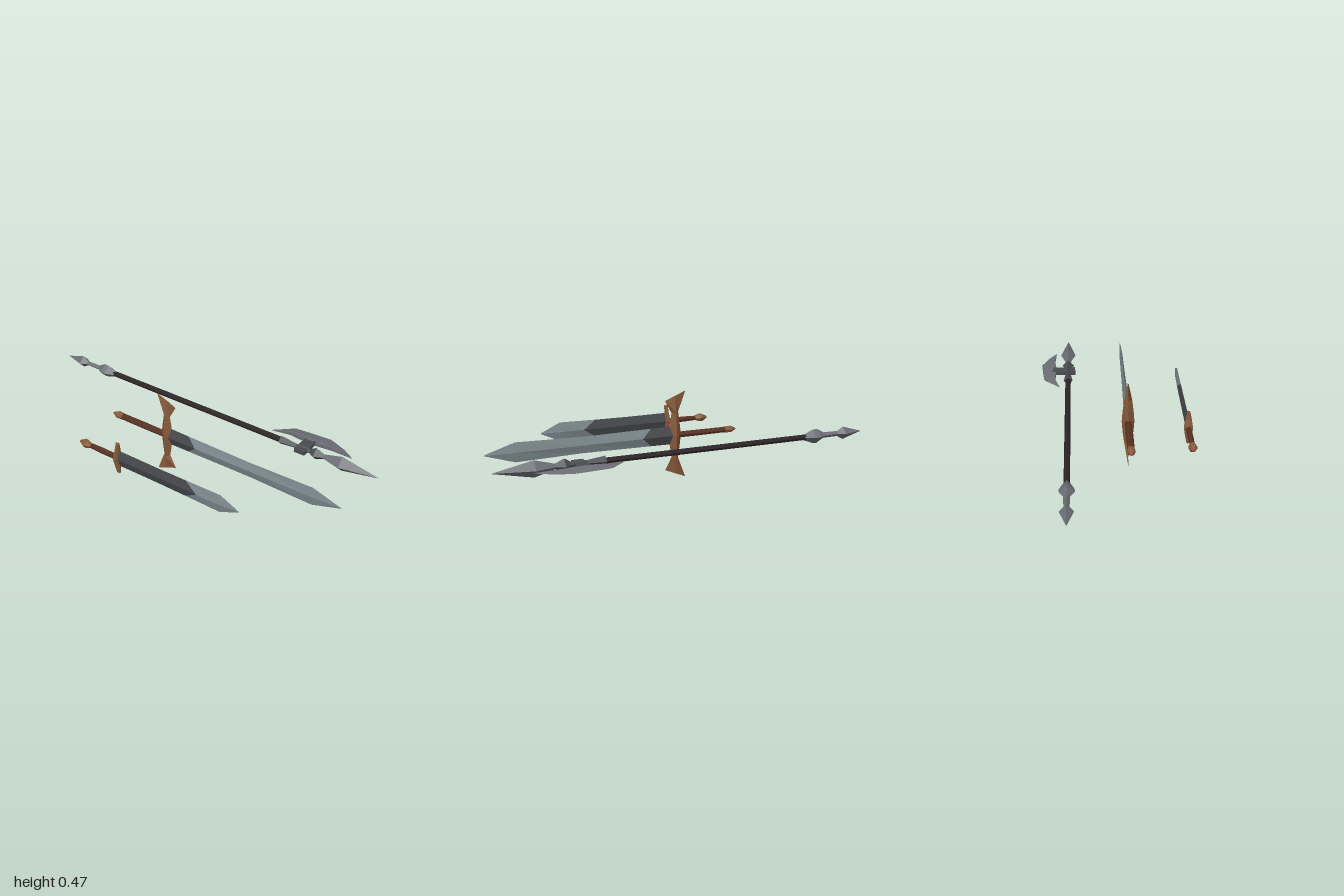
import * as THREE from 'three';

const MID = 0.236; // height of every weapon's axis

const mat = (name, color, extra = {}) => {
  const m = new THREE.MeshStandardMaterial({ color, flatShading: true, ...extra });
  m.name = name;
  return m;
};

// Skin a list of equal-length rings of [x, y, z] points and cap both ends.
function loft(rings) {
  const n = rings[0].length, pos = [];
  let volume = 0;
  const tris = [];
  const tri = (a, b, c) => {
    tris.push([a, b, c]);
    const [p, q, r] = [a, b, c].map(v => new THREE.Vector3(...v).sub(new THREE.Vector3(...rings[0][0])));
    volume += p.dot(q.cross(r));
  };
  for (let i = 0; i + 1 < rings.length; i++) {
    for (let k = 0; k < n; k++) {
      const l = (k + 1) % n, a = rings[i], b = rings[i + 1];
      tri(a[k], a[l], b[l]);
      tri(a[k], b[l], b[k]);
    }
  }
  const first = rings[0], last = rings[rings.length - 1];
  for (let k = 1; k + 1 < n; k++) {
    tri(first[0], first[k + 1], first[k]);
    tri(last[0], last[k], last[k + 1]);
  }
  // keep all faces pointing outward
  for (const [a, b, c] of tris) pos.push(...(volume >= 0 ? [a, b, c] : [a, c, b]).flat());
  const g = new THREE.BufferGeometry();
  g.setAttribute('position', new THREE.Float32BufferAttribute(pos, 3));
  g.computeVertexNormals();
  return g;
}

// Sections along z: [z, halfX, halfY, ridgeShift]; corners on the axes.
const alongZ = (sections, sides = 4) => loft(sections.map(([z, hx, hy = hx, shift = 0]) =>
  Array.from({ length: sides }, (_, k) => {
    const a = k / sides * Math.PI * 2;
    return [Math.cos(a) * hx, Math.sin(a) * hy, z + shift * Math.abs(Math.cos(a))];
  })));

export function createModel() {
  const steel = mat('blade steel', 0x7d898f);
  const darkSteel = mat('darkened blade', 0x45474a);
  const bronze = mat('bronze guard', 0x87593a);
  const leather = mat('leather grip', 0x57301f);
  const wood = mat('dark shaft', 0x2b2325);
  const iron = mat('pole iron', 0x6a6d72);
  const darkIron = mat('dark iron', 0x484b4f);

  const model = new THREE.Group();
  const weapon = (name, x) => {
    const g = new THREE.Group();
    g.name = name;
    g.position.set(x, MID, 0);
    model.add(g);
    return (part, geometry, material) => {
      const m = new THREE.Mesh(geometry, material);
      m.name = part;
      g.add(m);
      return m;
    };
  };

  // ---- short sword
  let add = weapon('shortSword', -0.372);
  add('bladeBase', alongZ([[-0.14, 0.014, 0.046], [0.1, 0.013, 0.045], [0.28, 0.012, 0.047, 0.07]]), darkSteel);
  add('blade', alongZ([[0.28, 0.012, 0.047, 0.07], [0.48, 0.01, 0.051], [0.585, 0.001, 0.002]]), steel);
  add('grip', alongZ([[-0.325, 0.012], [-0.24, 0.015], [-0.15, 0.014]], 8), leather);
  add('pommel', alongZ([[-0.38, 0.006], [-0.35, 0.023], [-0.335, 0.022], [-0.305, 0.012]], 6), bronze);
  const smallGuard = [[-0.088, 0.007, 0.012], [-0.05, 0.015, 0.012], [0, 0.023, 0.02],
    [0.05, 0.015, 0.012], [0.088, 0.007, 0.012]];
  add('guard', loft(smallGuard.map(([y, hx, hz]) => {
    const z = -0.14 + Math.abs(y) * 0.08;
    return [[hx, y, z - hz / 2], [hx, y, z + hz / 2], [0, y, z + hz],
      [-hx, y, z + hz / 2], [-hx, y, z - hz / 2], [0, y, z - hz]];
  })), bronze);

  // ---- long sword
  add = weapon('longSword', -0.07);
  add('bladeBase', alongZ([[-0.06, 0.018, 0.049], [0.08, 0.016, 0.047, 0.05]]), darkSteel);
  add('blade', alongZ([[0.08, 0.016, 0.047, 0.05], [0.45, 0.012, 0.043], [0.8, 0.009, 0.051],
    [0.955, 0.001, 0.002]]), steel);
  add('grip', alongZ([[-0.36, 0.018, 0.015], [-0.2, 0.019, 0.016], [-0.06, 0.016]], 8), leather);
  add('pommel', alongZ([[-0.41, 0.004], [-0.38, 0.021, 0.018], [-0.345, 0.019, 0.017]], 8), bronze);
  // flared guard arms: [frontY, frontZ, backY, backZ, halfX]
  const arm = [[0, -0.02, 0, -0.09, 0.033], [0.06, -0.027, 0.06, -0.083, 0.028],
    [0.12, -0.036, 0.125, -0.074, 0.02], [0.187, 0, 0.234, -0.115, 0.002]];
  const ring = s => ([fy, fz, by, bz, hx]) => {
    const y = s * (fy + by) / 2, z = (fz + bz) / 2;
    return [[hx, y, z], [0, s * fy, fz], [-hx, y, z], [0, s * by, bz]];
  };
  add('guard', loft([...arm.slice(1).reverse().map(ring(-1)), ...arm.map(ring(1))]), bronze);

  // ---- poleaxe
  add = weapon('poleaxe', 0.24);
  add('shaft', alongZ([[-0.68, 0.015], [0.46, 0.015]], 8), wood);
  add('buttSpike', alongZ([[-1, 0.001], [-0.89, 0.034], [-0.855, 0.014], [-0.77, 0.015],
    [-0.73, 0.038], [-0.705, 0.036], [-0.65, 0.015]]), iron);
  add('socket', alongZ([[0.44, 0.025], [0.53, 0.014], [0.61, 0.014], [0.645, 0.034],
    [0.69, 0.014]]), darkIron);
  add('spearHead', alongZ([[0.69, 0.014], [0.79, 0.042], [0.99, 0.001]]), iron);
  const lug = add('crossLug', new THREE.BoxGeometry(0.125, 0.02, 0.06), darkIron);
  lug.position.set(0.0225, 0, 0.57);

  // crescent blade: rows across the blade, [backX, backZ, ridgeX, ridgeZ, edgeX, edgeZ, halfThickness]
  const crescent = [
    [0.045, 0.355, 0.046, 0.357, 0.047, 0.358, 0.001],
    [0.074, 0.455, 0.09, 0.455, 0.132, 0.45, 0.008],
    [0.068, 0.53, 0.096, 0.54, 0.142, 0.54, 0.01],
    [0.068, 0.61, 0.096, 0.62, 0.15, 0.65, 0.01],
    [0.076, 0.69, 0.09, 0.7, 0.112, 0.745, 0.008],
    [0.068, 0.81, 0.07, 0.808, 0.074, 0.805, 0.001],
  ];
  add('axeBlade', loft(crescent.map(([bx, bz, rx, rz, ex, ez, t]) =>
    [[bx, t, bz], [rx, t, rz], [ex, 0, ez], [rx, -t, rz], [bx, -t, bz]])), iron);

  return model;
}
